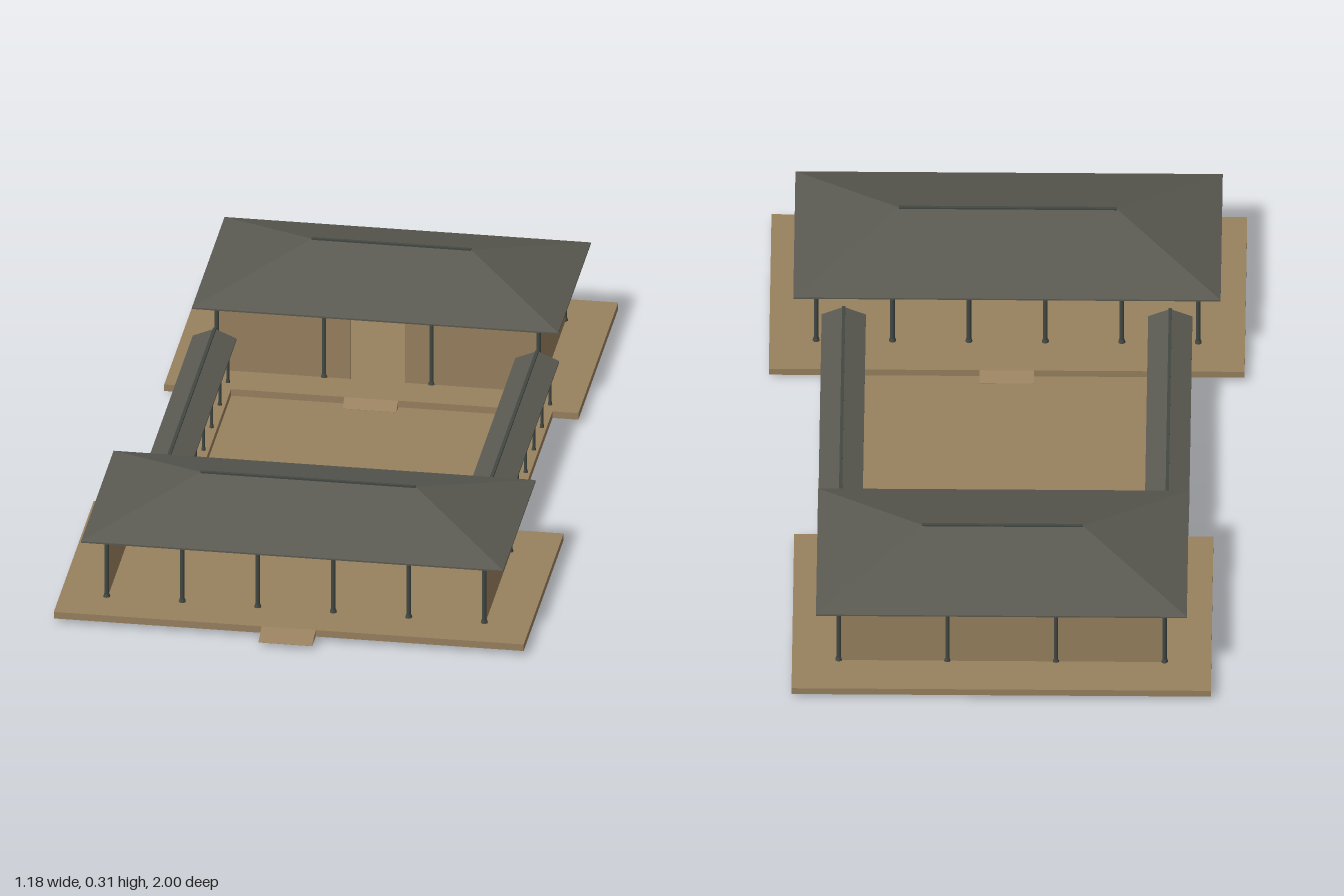
import * as THREE from 'three';

const material = (name, color) => {
  const m = new THREE.MeshStandardMaterial({ color });
  m.name = name;
  return m;
};

export function createModel() {
  const model = new THREE.Group();
  model.name = 'courtyardHouse';
  const earth = material('tan earth', 0x98815f);
  const tile = material('grey roof tile', 0x5a5a52);
  const timber = material('dark timber', 0x424843);

  const add = (parent, name, geometry, mat) => {
    const mesh = new THREE.Mesh(geometry, mat);
    mesh.name = name;
    parent.add(mesh);
    return mesh;
  };

  const group = (name) => {
    const g = new THREE.Group();
    g.name = name;
    model.add(g);
    return g;
  };

  // Box given by its extents along each axis
  const block = (parent, name, [x0, x1], [y0, y1], [z0, z1], mat) => {
    const mesh = add(parent, name, new THREE.BoxGeometry(x1 - x0, y1 - y0, z1 - z0), mat);
    mesh.position.set((x0 + x1) / 2, (y0 + y1) / 2, (z0 + z1) / 2);
    return mesh;
  };

  // Box reshaped by moving its vertices
  const reshaped = (w, h, d, rule) => {
    const g = new THREE.BoxGeometry(w, h, d).toNonIndexed();
    const p = g.attributes.position;
    const v = new THREE.Vector3();
    for (let i = 0; i < p.count; i++) {
      rule(v.fromBufferAttribute(p, i));
      p.setXYZ(i, v.x, v.y, v.z);
    }
    g.computeVertexNormals();
    return g;
  };

  // Eave slab, sloping body and ridge cap; the ridge runs along x
  const roof = (parent, width, depth, ridge, eaveY, ridgeY, edge) => {
    const g = new THREE.Group();
    g.name = 'roof';
    parent.add(g);
    block(g, 'eaveSlab', [-width / 2, width / 2], [eaveY, eaveY + edge], [-depth / 2, depth / 2], tile);
    const y0 = eaveY + edge;
    const slopes = reshaped(width, ridgeY - y0, depth, (v) => {
      if (v.y > 0) {
        v.x = Math.sign(v.x) * ridge / 2;
        v.z = 0;
      }
    });
    add(g, 'roofSlopes', slopes, tile).position.y = (y0 + ridgeY) / 2;
    block(g, 'ridgeCap', [-ridge / 2, ridge / 2], [ridgeY - 0.004, ridgeY + 0.003], [-0.004, 0.004], timber);
    return g;
  };

  // Round post on a wider foot
  const column = (parent, x, z, y1, r) => {
    const h = y1 - 0.03;
    add(parent, 'column', new THREE.CylinderGeometry(r, r, h, 10), timber).position.set(x, 0.03 + h / 2, z);
    add(parent, 'columnFoot', new THREE.CylinderGeometry(r * 1.15, r * 1.5, 0.008, 10), timber).position.set(x, 0.034, z);
  };

  // Ramp falling away from z0 towards z1
  const ramp = (name, z0, z1) => {
    const dir = Math.sign(z1 - z0);
    const geo = reshaped(0.135, 0.018, Math.abs(z1 - z0), (v) => {
      if (v.y > 0 && v.z * dir > 0) v.y = -0.0085;
    });
    add(model, name, geo, earth).position.set(0, 0.021, (z0 + z1) / 2);
  };

  // Ground: raised terraces around a lower courtyard
  const deck = [0.012, 0.03];
  block(model, 'frontTerrace', [-0.59, 0.59], deck, [0.31, 0.945], earth);
  block(model, 'backTerrace', [-0.52, 0.52], deck, [-1, -0.367], earth);
  block(model, 'courtyardFloor', [-0.352, 0.352], [0, 0.012], [-0.367, 0.31], earth);
  ramp('entranceRamp', 0.945, 1);
  ramp('frontCourtRamp', 0.31, 0.28);
  ramp('backCourtRamp', -0.367, -0.337);

  // Front hall: open front and back, six columns per row
  const front = group('frontHall');
  for (const z of [0.43, 0.837]) {
    for (let i = 0; i < 6; i++) column(front, -0.474 + i * 0.1896, z, 0.202, 0.006);
  }
  for (const s of [-1, 1]) {
    block(front, 'sideWall', [s * 0.474 - 0.003, s * 0.474 + 0.003], [0.03, 0.202], [0.43, 0.837], earth);
  }
  roof(front, 1.06, 0.518, 0.54, 0.2, 0.29, 0.004).position.z = 0.633;

  // Back hall: walled, with a doorway towards the courtyard
  const back = group('backHall');
  const wallY = [0.03, 0.216];
  for (const z of [-0.473, -0.88]) {
    for (let i = 0; i < 4; i++) column(back, -0.404 + i * 0.2693, z, 0.216, 0.006);
  }
  block(back, 'rearWall', [-0.404, 0.404], wallY, [-0.883, -0.877], earth);
  for (const s of [-1, 1]) {
    block(back, 'sideWall', [s * 0.404 - 0.003, s * 0.404 + 0.003], wallY, [-0.88, -0.473], earth);
    block(back, 'doorwayWall', s > 0 ? [0.068, 0.404] : [-0.404, -0.068], wallY, [-0.476, -0.47], earth);
  }
  roof(back, 0.92, 0.518, 0.4, 0.214, 0.303, 0.004).position.z = -0.686;

  // Covered walkways along both sides of the courtyard
  for (const s of [-1, 1]) {
    const walk = group(s > 0 ? 'leftWalkway' : 'rightWalkway');
    block(walk, 'walkwayFloor', s > 0 ? [0.352, 0.455] : [-0.455, -0.352], deck, [-0.367, 0.31], earth);
    for (const x of [0.366, 0.443]) {
      for (let i = 0; i < 7; i++) column(walk, s * x, 0.37 - i * 0.129, 0.133, 0.0038);
    }
    const cover = roof(walk, 0.84, 0.11, 0.84, 0.13, 0.157, 0.004);
    cover.rotation.y = Math.PI / 2;
    cover.position.set(s * 0.405, 0, -0.021);
  }

  return model;
}
